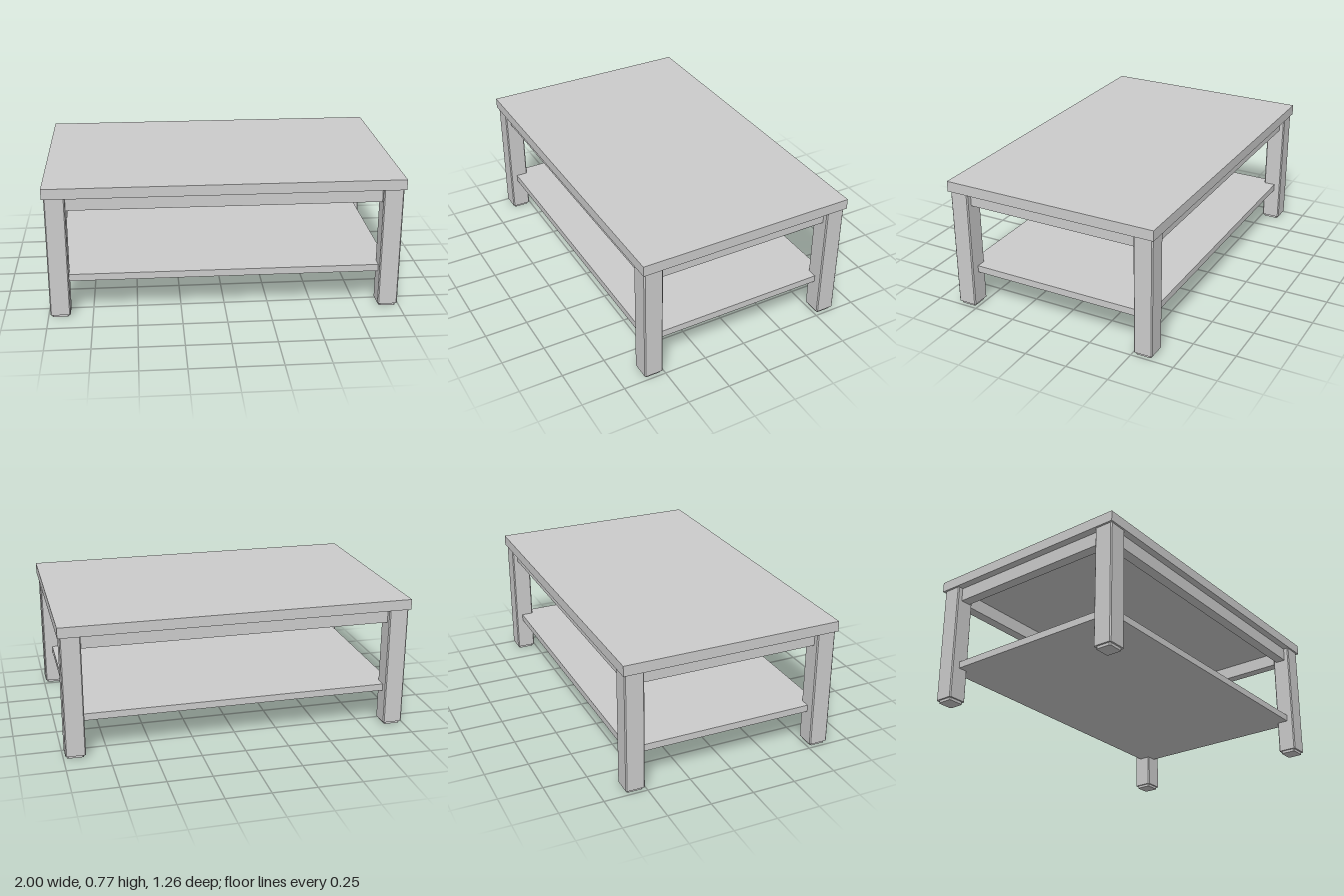
import * as THREE from 'three';

export function createModel() {
  const table = new THREE.Group();
  table.name = 'coffeeTable';
  const material = new THREE.MeshStandardMaterial({ color: 0xcccccc, flatShading: true });

  const add = (name, geometry, x, y, z) => {
    const mesh = new THREE.Mesh(geometry, material);
    mesh.name = name;
    mesh.position.set(x, y, z);
    table.add(mesh);
  };
  const box = (name, w, h, d, x, y, z) => add(name, new THREE.BoxGeometry(w, h, d), x, y, z);

  // Upright post with small chamfers on its four long edges
  const post = (w, h, d, c) => {
    const a = w / 2, b = d / 2;
    const outline = [
      [a - c, -b], [a, -b + c], [a, b - c], [a - c, b],
      [-a + c, b], [-a, b - c], [-a, -b + c], [-a + c, -b],
    ].map(([x, y]) => new THREE.Vector2(x, y));
    return new THREE.ExtrudeGeometry(new THREE.Shape(outline), { depth: h, bevelEnabled: false })
      .rotateX(-Math.PI / 2);
  };

  // Top board and lower shelf
  box('tabletop', 2, 0.06, 1.26, 0, 0.74, 0);
  box('shelf', 1.874, 0.04, 1.16, 0, 0.225, 0);

  // Legs, each on a slightly smaller foot pad
  const leg = post(0.113, 0.695, 0.11, 0.006);
  const foot = post(0.093, 0.015, 0.09, 0.006);
  for (const sx of [-1, 1]) {
    for (const sz of [-1, 1]) {
      add('leg', leg, sx * 0.932, 0.015, sz * 0.565);
      add('foot', foot, sx * 0.932, 0, sz * 0.565);
    }
  }

  // Apron rails under the top, running between the legs
  for (const s of [-1, 1]) {
    box('longApron', 1.76, 0.08, 0.06, 0, 0.67, s * 0.56);
    box('shortApron', 0.06, 0.08, 1.03, s * 0.927, 0.67, 0);
  }
  return table;
}
